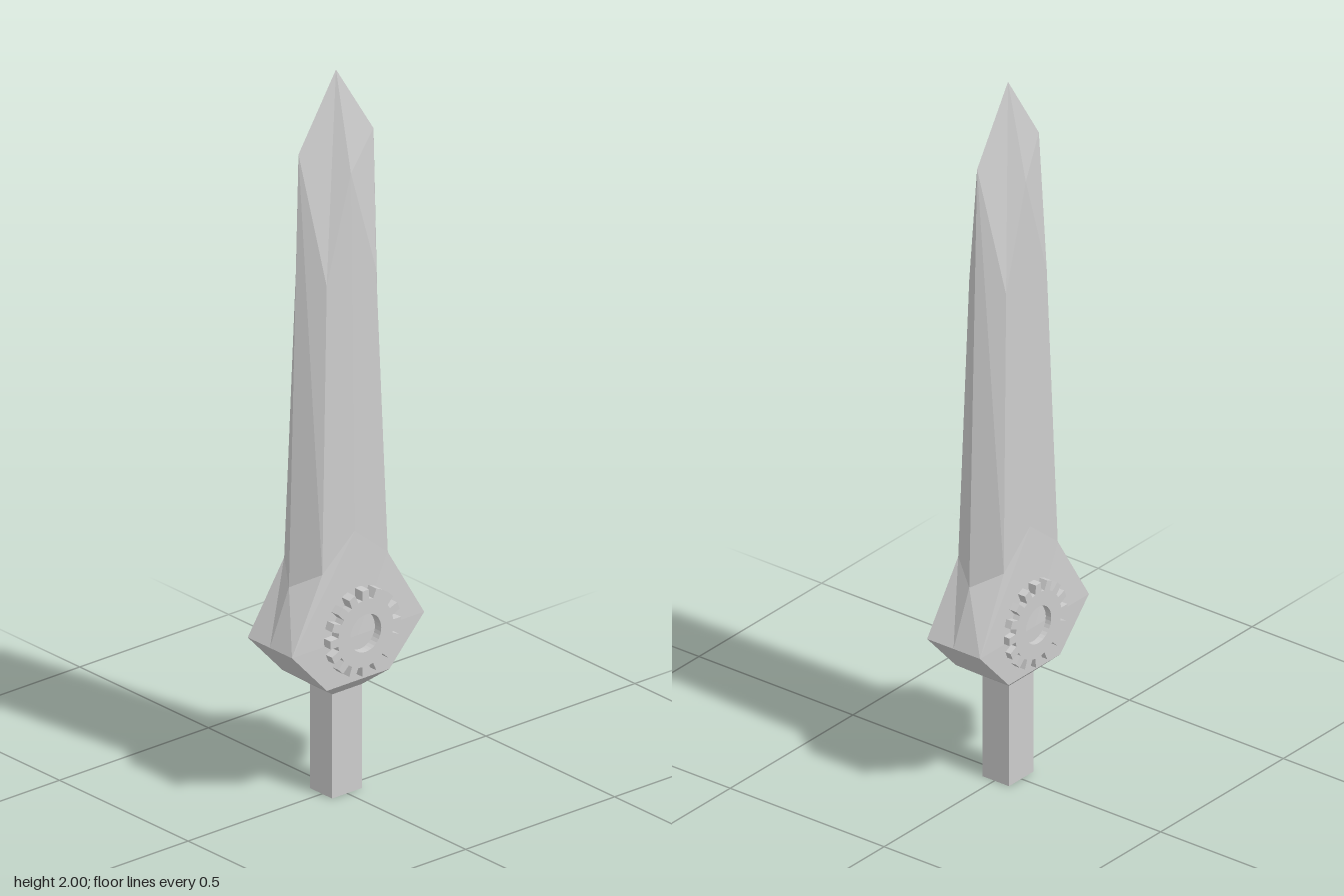
import * as THREE from 'three';

const material = new THREE.MeshStandardMaterial({ color: 0xcccccc, flatShading: true });

// Mirror one quarter's polygons across x and z into a faceted solid
function mirroredFacets(polygons) {
  const positions = [];
  for (const sx of [1, -1]) for (const sz of [1, -1]) {
    for (const polygon of polygons) {
      const p = polygon.map(([x, y, z]) => [x * sx, y, z * sz]);
      if (sx * sz < 0) p.reverse();
      for (let i = 1; i < p.length - 1; i++) positions.push(...p[0], ...p[i], ...p[i + 1]);
    }
  }
  const geometry = new THREE.BufferGeometry();
  geometry.setAttribute('position', new THREE.Float32BufferAttribute(positions, 3));
  geometry.computeVertexNormals();
  return geometry;
}

// Toothed ring in the xy plane, extruded along z
function gearGeometry(teeth, outer, root, hole, depth) {
  const shape = new THREE.Shape();
  const step = (Math.PI * 2) / teeth;
  const corners = [[-0.32, root], [-0.23, outer], [0.23, outer], [0.32, root]];
  const points = [];
  for (let i = 0; i < teeth; i++) {
    for (const [offset, r] of corners) {
      const a = Math.PI / 2 + (i + offset) * step;
      points.push(new THREE.Vector2(Math.cos(a) * r, Math.sin(a) * r));
    }
  }
  shape.setFromPoints(points);
  shape.holes.push(new THREE.Path().absarc(0, 0, hole, 0, Math.PI * 2, true));
  return new THREE.ExtrudeGeometry(shape, { depth, bevelEnabled: false, curveSegments: 16 });
}

export function createModel() {
  const group = new THREE.Group();
  const add = (name, geometry, x, y, z) => {
    const mesh = new THREE.Mesh(geometry, material);
    mesh.name = name;
    mesh.position.set(x, y, z);
    group.add(mesh);
    return mesh;
  };
  const shift = -0.004;

  // Blade corners: tip, flat apex, bevel top, edge top, then the lower ends
  const tip = [0, 2, 0], flatTop = [0.058, 1.73, 0];
  const bevelTop = [0.06, 1.44, 0.083], edgeTop = [0, 1.8, 0.126];
  const flatEnd = [0.072, 0.74, 0], bevelEnd = [0.074, 0.65, 0.11], edgeEnd = [0, 0.605, 0.158];
  add('blade', mirroredFacets([
    [tip, edgeTop, bevelTop, flatTop],
    [edgeTop, edgeEnd, bevelEnd, bevelTop],
    [flatTop, bevelTop, bevelEnd, flatEnd],
  ]), shift, 0, 0);

  // Guard: widest row, lower row, neck row (corner, side middle, front middle)
  const row = (x, y, z) => [[x, y, z], [x, y, 0], [0, y, z]];
  const [wide, wideSide, wideFront] = row(0.086, 0.455, 0.222);
  const [low, lowSide, lowFront] = row(0.086, 0.33, 0.105);
  const [neck, neckSide, neckFront] = row(0.043, 0.29, 0.05);
  add('guard', mirroredFacets([
    [flatEnd, bevelEnd, wide, wideSide],
    [edgeEnd, wideFront, wide, bevelEnd],
    [wide, low, lowSide, wideSide],
    [wideFront, lowFront, low, wide],
    [low, neck, neckSide, lowSide],
    [lowFront, neckFront, neck, low],
  ]), shift, 0, 0);

  // Square handle
  add('handle', new THREE.BoxGeometry(0.086, 0.3, 0.1), shift, 0.15, 0);

  // A gear on each side of the guard
  const depth = 0.034;
  const gear = gearGeometry(16, 0.119, 0.093, 0.052, depth);
  gear.rotateY(Math.PI / 2);
  add('leftGear', gear, 0.106 - depth, 0.467, -0.005);
  add('rightGear', gear, -0.107, 0.467, -0.005);

  return group;
}
